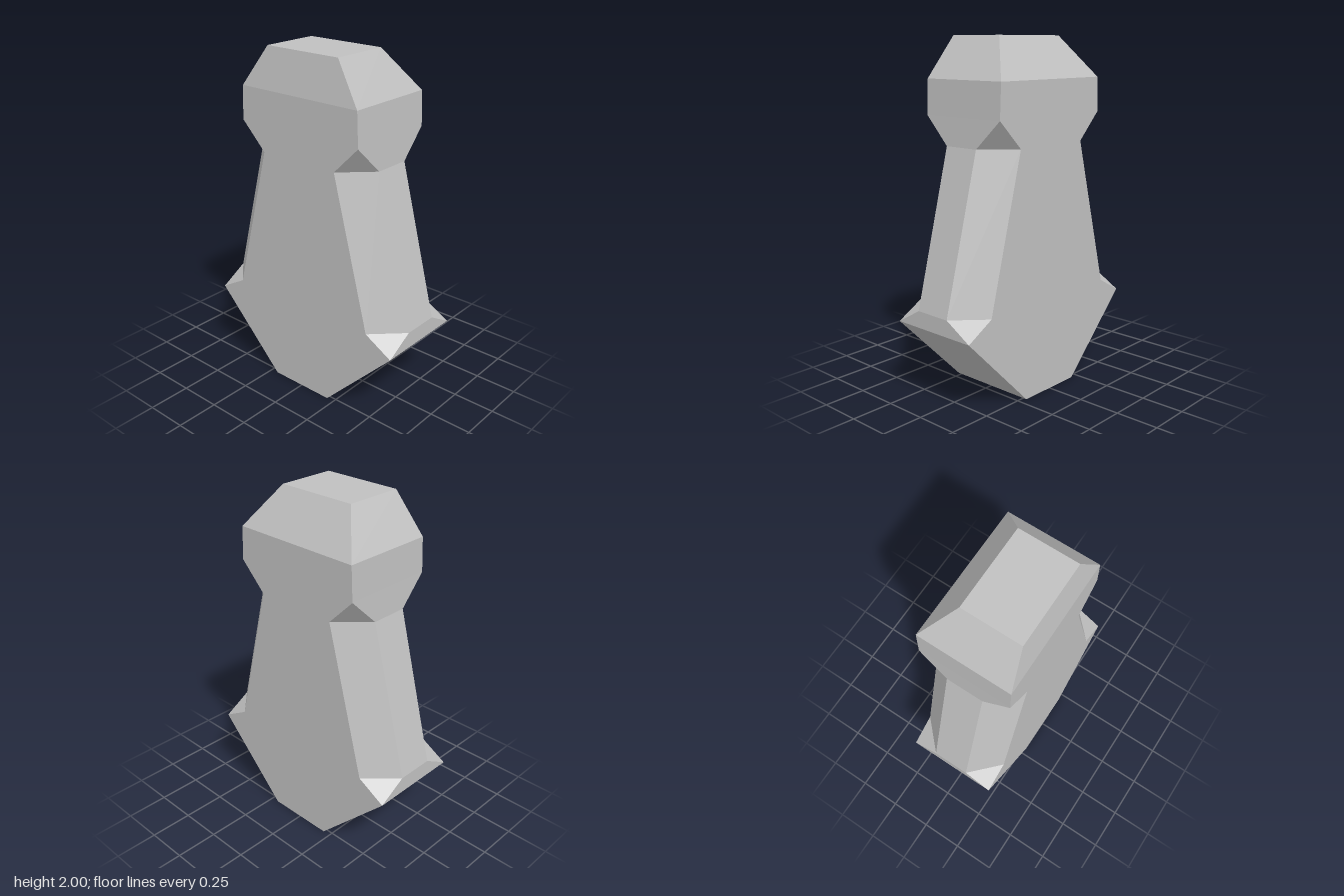
import * as THREE from 'three';

const DEPTH = 0.273; // half thickness of the body
const CUT = 0.11;    // half width of the side strip between the chamfers

// Octagonal cross-section: side x, front/back x, and z of each corner
function ring(y, xSide, xFace, zSide = DEPTH, zFront = DEPTH, zBack = DEPTH, zSideBack = zSide) {
  return [
    [xFace, zFront], [xSide, zSide], [xSide, -zSideBack], [xFace, -zBack],
    [-xFace, -zBack], [-xSide, -zSideBack], [-xSide, zSide], [-xFace, zFront],
  ].map(([x, z]) => new THREE.Vector3(x, y, z));
}

// Flat-faced loft through the rings with capped ends
function loft(rings) {
  const positions = [];
  const triangle = (a, b, c) => {
    if (new THREE.Triangle(a, b, c).getArea() < 1e-7) return;
    for (const p of [a, b, c]) positions.push(p.x, p.y, p.z);
  };
  const n = rings[0].length;
  for (let k = 0; k < rings.length - 1; k++) {
    for (let i = 0; i < n; i++) {
      const j = (i + 1) % n;
      triangle(rings[k][i], rings[k][j], rings[k + 1][j]);
      triangle(rings[k][i], rings[k + 1][j], rings[k + 1][i]);
    }
  }
  const bottom = rings[0], top = rings[rings.length - 1];
  for (let i = 1; i < n - 1; i++) {
    triangle(bottom[0], bottom[i + 1], bottom[i]);
    triangle(top[0], top[i], top[i + 1]);
  }
  const geometry = new THREE.BufferGeometry();
  geometry.setAttribute('position', new THREE.Float32BufferAttribute(positions, 3));
  geometry.computeVertexNormals();
  return geometry;
}

export function createModel() {
  const group = new THREE.Group();
  group.name = 'stonePost';

  const stone = new THREE.MeshStandardMaterial({ color: 0xc0c0c0 });
  stone.name = 'grey stone';

  const body = new THREE.Mesh(loft([
    ring(0, 0.203, 0.203),                             // foot
    ring(0.45, 0.648, 0.648),                          // widest point
    ring(0.545, 0.648, 0.48, CUT),                     // lower chamfer stop
    ring(1.417, 0.42, 0.252, CUT),                     // upper chamfer stop
    ring(1.575, 0.41, 0.41),                           // neck
    ring(1.77, 0.401, 0.401),                          // shoulder of the head
    ring(2, 0.243, 0.243, 0.232, 0.232, 0.112, 0.112), // flat top, set forward
  ]), stone);
  body.name = 'chamferedBody';
  group.add(body);

  return group;
}
